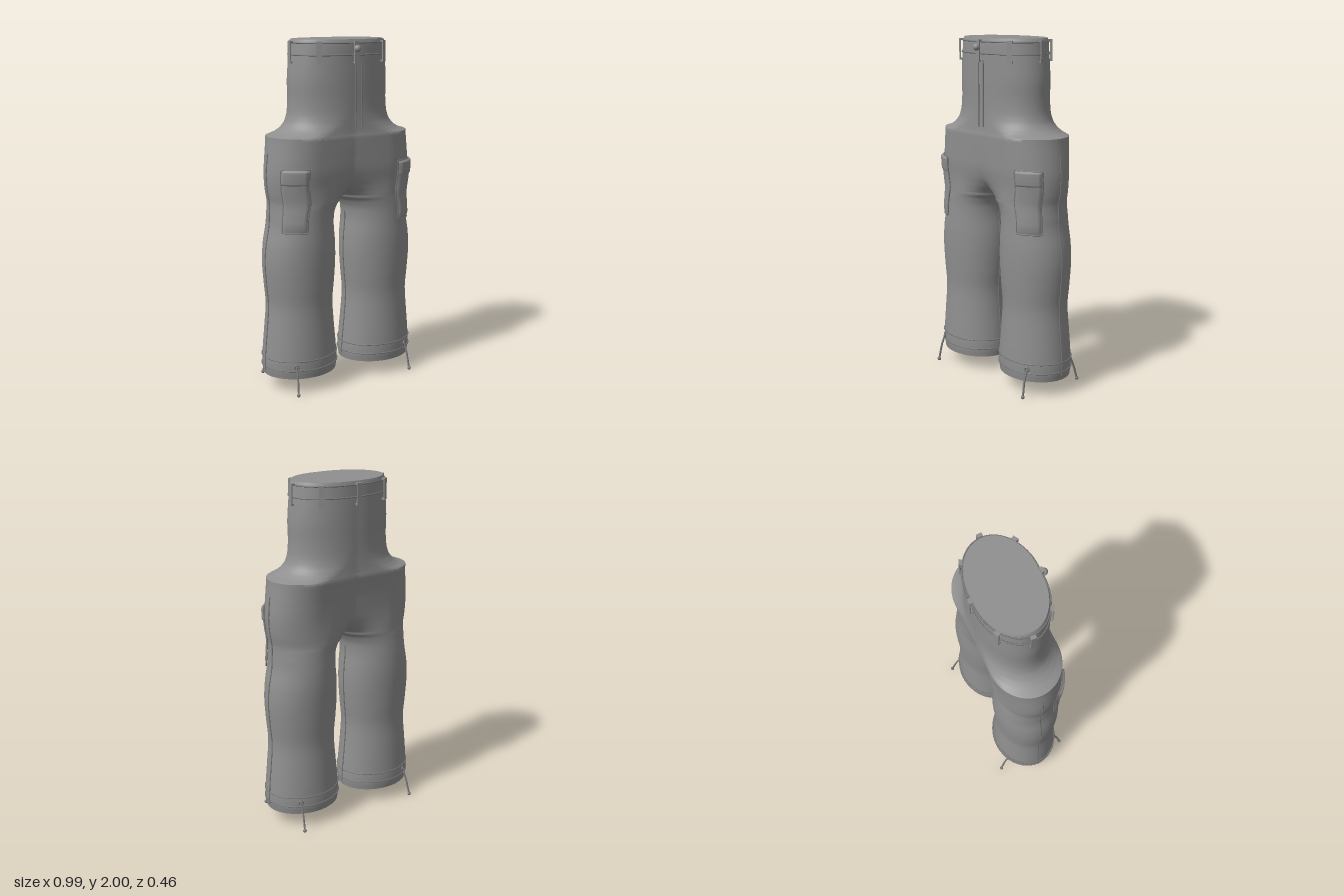
import * as THREE from 'three';
import { mergeGeometries, mergeVertices, toCreasedNormals } from 'three/addons/utils/BufferGeometryUtils.js';

// Leg sections: y, inner x, outer x, front z, back z
const LEG = [
  [0.09, 0.04, 0.482, 0.187, 0.187], [0.13, 0.035, 0.488, 0.192, 0.192],
  [0.2, 0.038, 0.487, 0.192, 0.19], [0.35, 0.052, 0.474, 0.185, 0.182],
  [0.5, 0.062, 0.462, 0.179, 0.173], [0.62, 0.052, 0.472, 0.186, 0.18],
  [0.75, 0.044, 0.48, 0.192, 0.187], [0.86, 0.047, 0.472, 0.193, 0.19],
  [0.96, 0.056, 0.453, 0.189, 0.186], [1.03, 0.05, 0.448, 0.187, 0.18],
  [1.075, 0.028, 0.446, 0.187, 0.177], [1.1, 0, 0.447, 0.187, 0.176],
];
// Hip and waist sections: y, lobe centre x, outer x, front z, back z, depth at the middle
const HIP = [
  [1.1, 0.2235, 0.447, 0.187, 0.176, 0], [1.12, 0.225, 0.45, 0.187, 0.175, 0.4],
  [1.15, 0.23, 0.456, 0.187, 0.174, 0.67], [1.2, 0.235, 0.462, 0.189, 0.173, 0.86],
  [1.27, 0.235, 0.464, 0.196, 0.175, 0.93], [1.36, 0.23, 0.456, 0.198, 0.182, 0.95],
  [1.42, 0.225, 0.449, 0.199, 0.19, 0.96], [1.47, 0.22, 0.445, 0.2, 0.198, 0.96],
];
const WAIST = [
  [1.47, 0.22, 0.445, 0.2, 0.198, 0.96], [1.477, 0.2, 0.42, 0.198, 0.197, 0.962],
  [1.487, 0.17, 0.39, 0.196, 0.195, 0.965], [1.507, 0.13, 0.357, 0.193, 0.192, 0.975],
  [1.54, 0.08, 0.329, 0.19, 0.189, 0.985], [1.59, 0.045, 0.313, 0.188, 0.187, 0.99],
  [1.67, 0.03, 0.307, 0.188, 0.187, 0.994], [1.77, 0.03, 0.309, 0.19, 0.188, 0.994],
  [1.87, 0.03, 0.301, 0.19, 0.188, 0.994], [1.95, 0.03, 0.292, 0.19, 0.187, 0.994],
  [1.985, 0.03, 0.288, 0.188, 0.186, 0.994], [2, 0.03, 0.28, 0.183, 0.182, 0.994],
];

// Smooth interpolation between the sections of one list
function densify(rows, n) {
  const out = [];
  for (let i = 0; i < rows.length - 1; i++) {
    const p = [rows[Math.max(i - 1, 0)], rows[i], rows[i + 1], rows[Math.min(i + 2, rows.length - 1)]];
    for (let k = 0; k < n; k++) {
      const t = k / n;
      out.push(p[1].map((b, j) => {
        const a = p[0][j], c = p[2][j], d = p[3][j];
        if (j === 0) return b + (c - b) * t;
        return 0.5 * (2 * b + (c - a) * t + (2 * a - 5 * b + 4 * c - d) * t * t + (3 * b - a - 3 * c + d) * t * t * t);
      }));
    }
  }
  out.push(rows[rows.length - 1]);
  return out;
}
const legRows = LEG.map(([y, a, b, zf, zb]) => [y, (a + b) / 2, b, zf, zb, 0, (b - a) / 2]);
const hipRows = (rows) => densify(rows, 3).map((r) => {
  const f = Math.min(Math.max(r[5], 0), 0.999);
  return [r[0], r[1], r[2], r[3], r[4], f, r[1] / Math.sqrt(1 - f * f)];
});
const ROWS = [...densify(legRows, 4), ...hipRows(HIP).slice(1), ...hipRows(WAIST).slice(1)];

// Point on a section: u = -1 inner back, 0 outer side, 1 inner front
function onRow(r, u, s = 1, off = 0) {
  const [y, cx, xo, zf, zb, f, ri] = r;
  const a = Math.abs(u), rz = u > 0 ? zf : zb, sg = Math.sign(u);
  if (a <= 0.5) {
    const t = a * Math.PI;
    return new THREE.Vector3(s * (cx + (xo - cx + off) * Math.cos(t)), y, sg * (rz + off) * Math.sin(t));
  }
  const t = (a - 0.5) * 2 * Math.acos(f);
  const x = a === 1 && f > 0 ? 0 : cx - (ri + (f > 0 ? 0 : off)) * Math.sin(t);
  return new THREE.Vector3(s * x, y, sg * (rz + off) * Math.cos(t));
}
function onBody(y, u, s, off) {
  let i = 0;
  while (i < ROWS.length - 2 && ROWS[i + 1][0] < y) i++;
  const a = ROWS[i], b = ROWS[i + 1], t = (y - a[0]) / (b[0] - a[0]);
  return onRow(a.map((v, j) => v + (b[j] - v) * t), u, s, off);
}

// Surface grid; s = -1 builds the mirrored side
function grid(fn, nu, nv, s, caps) {
  const pos = [], idx = [], w = nu + 1;
  const tri = (a, b, c) => (s > 0 ? idx.push(a, b, c) : idx.push(a, c, b));
  for (let j = 0; j <= nv; j++) for (let i = 0; i <= nu; i++) pos.push(...fn(i / nu, j).toArray());
  for (let j = 0; j < nv; j++) for (let i = 0; i < nu; i++) {
    const a = j * w + i;
    tri(a, a + w, a + 1);
    tri(a + 1, a + w, a + w + 1);
  }
  if (caps) {
    const n = pos.length / 3;
    pos.push(s * 0.26, 0.09, 0, 0, 2, 0);
    for (let i = 0; i < nu; i++) {
      tri(n, i, i + 1);
      tri(n + 1, nv * w + i + 1, nv * w + i);
    }
  }
  const g = new THREE.BufferGeometry();
  g.setAttribute('position', new THREE.Float32BufferAttribute(pos, 3));
  g.setIndex(idx);
  return g;
}

export function createModel() {
  const model = new THREE.Group();
  const fabric = new THREE.MeshStandardMaterial({ color: 0x8f8f8f });
  fabric.name = 'grey fabric';
  const thread = new THREE.MeshStandardMaterial({ color: 0x7a7a7a });
  thread.name = 'darker trim';
  const add = (name, geo, mat = fabric) => {
    const m = new THREE.Mesh(geo, mat);
    m.name = name;
    model.add(m);
    return m;
  };
  const tube = (name, pts, r = 0.004, closed = false, mat = thread) =>
    add(name, new THREE.TubeGeometry(new THREE.CatmullRomCurve3(pts, closed), Math.max(8, pts.length * 2), r, 6, closed), mat);
  const span = (a, b, n) => Array.from({ length: n + 1 }, (_, i) => a + ((b - a) * i) / n);

  // Trouser body: both halves joined along the middle
  const halves = [1, -1].map((s) => grid((t, j) => onRow(ROWS[j], t * 2 - 1, s), 64, ROWS.length - 1, s, true));
  add('trouserBody', toCreasedNormals(mergeVertices(mergeGeometries(halves), 1e-4), 0.85));

  // Waistband seams
  for (const y of [1.915, 1.98]) {
    const half = (s) => span(-1, 1, 32).map((u) => onBody(y, u, s, 0.003));
    tube('waistSeam', [...half(1), ...half(-1).reverse().slice(1, -1)], 0.004, true);
  }

  // Belt loops
  const loop = (p, angle) => {
    const g = new THREE.Group();
    g.name = 'beltLoop';
    const strap = new THREE.Mesh(new THREE.BoxGeometry(0.03, 0.12, 0.006), fabric);
    strap.position.z = 0.012;
    g.add(strap);
    for (const y of [-0.055, 0.055]) {
      const end = new THREE.Mesh(new THREE.BoxGeometry(0.03, 0.01, 0.018), fabric);
      end.position.set(0, y, 0.004);
      g.add(end);
    }
    g.position.copy(p);
    g.rotation.set(0, angle, 0);
    model.add(g);
  };
  for (const s of [1, -1]) {
    loop(onBody(1.93, 0, s, 0.004), s * Math.PI / 2);
    loop(onBody(1.93, 0.27, s, 0.004), s * 0.5);
    loop(onBody(1.93, -0.27, s, 0.004), Math.PI - s * 0.5);
  }
  loop(new THREE.Vector3(0, 1.93, 0.19), 0);
  loop(new THREE.Vector3(0, 1.93, -0.19), Math.PI);

  // Button and fly
  add('button', new THREE.SphereGeometry(0.02, 20, 14)).position.set(0, 1.95, 0.21);
  for (const x of [0, 0.04])
    tube('flySeam', span(1.51, 1.88, 6).map((y) => new THREE.Vector3(x, y, 0.197)), 0.004);

  for (const s of [1, -1]) {
    // Side and inner leg seams
    tube('sideSeam', span(0.12, 1.38, 36).map((y) => onBody(y, 0, s, 0.001)), 0.004);
    tube('innerSeam', span(0.12, 1.0, 24).map((y) => onBody(y, 1, s, 0.001)), 0.004);
    // Cuff seams
    for (const y of [0.14, 0.195])
      tube('cuffSeam', span(-1, 1, 40).slice(0, -1).map((u) => onBody(y, u, s, 0.002)), 0.004, true);

    // Cargo pocket with flap, puffed in the middle
    const u0 = 0.18, u1 = 0.412;
    const panel = (name, ya, yb, puff) => {
      const at = (t, v) => onBody(ya + (yb - ya) * v, u0 + (u1 - u0) * t, s,
        0.004 + (t > 0.01 && t < 0.99 && v > 0.01 && v < 0.99 ? puff : 0));
      const g = grid((t, j) => at(t, j / 12), 12, 12, s);
      g.computeVertexNormals();
      add(name, g);
      const e = span(0, 1, 8).slice(0, -1);
      const rim = [...e.map((t) => at(t, 0)), ...e.map((v) => at(1, v)), ...e.map((t) => at(1 - t, 1)), ...e.map((v) => at(0, 1 - v))];
      tube(name + 'Edge', rim, 0.004, true);
    };
    panel('cargoPocket', 0.945, 1.3, 0.01);
    panel('pocketFlap', 1.21, 1.3, 0.016);

    // Drawcords with eyelets and knots, front and back
    for (const d of [1, -1]) {
      const top = onBody(0.165, d * 0.33, s, 0.003);
      const end = new THREE.Vector3(s * 0.39, 0.012, d * (d > 0 ? 0.208 : 0.222));
      const mid = top.clone().lerp(end, 0.4).add(new THREE.Vector3(0, 0, d * 0.006));
      tube('drawcord', [top, mid, end], 0.006);
      add('cordKnot', new THREE.SphereGeometry(0.011, 12, 8), thread).position.copy(end);
      const ring = add('cordEyelet', new THREE.TorusGeometry(0.012, 0.005, 8, 18), thread);
      ring.position.copy(top);
      ring.rotation.y = s * d * 0.5 + (d < 0 ? Math.PI : 0);
    }
  }
  return model;
}
